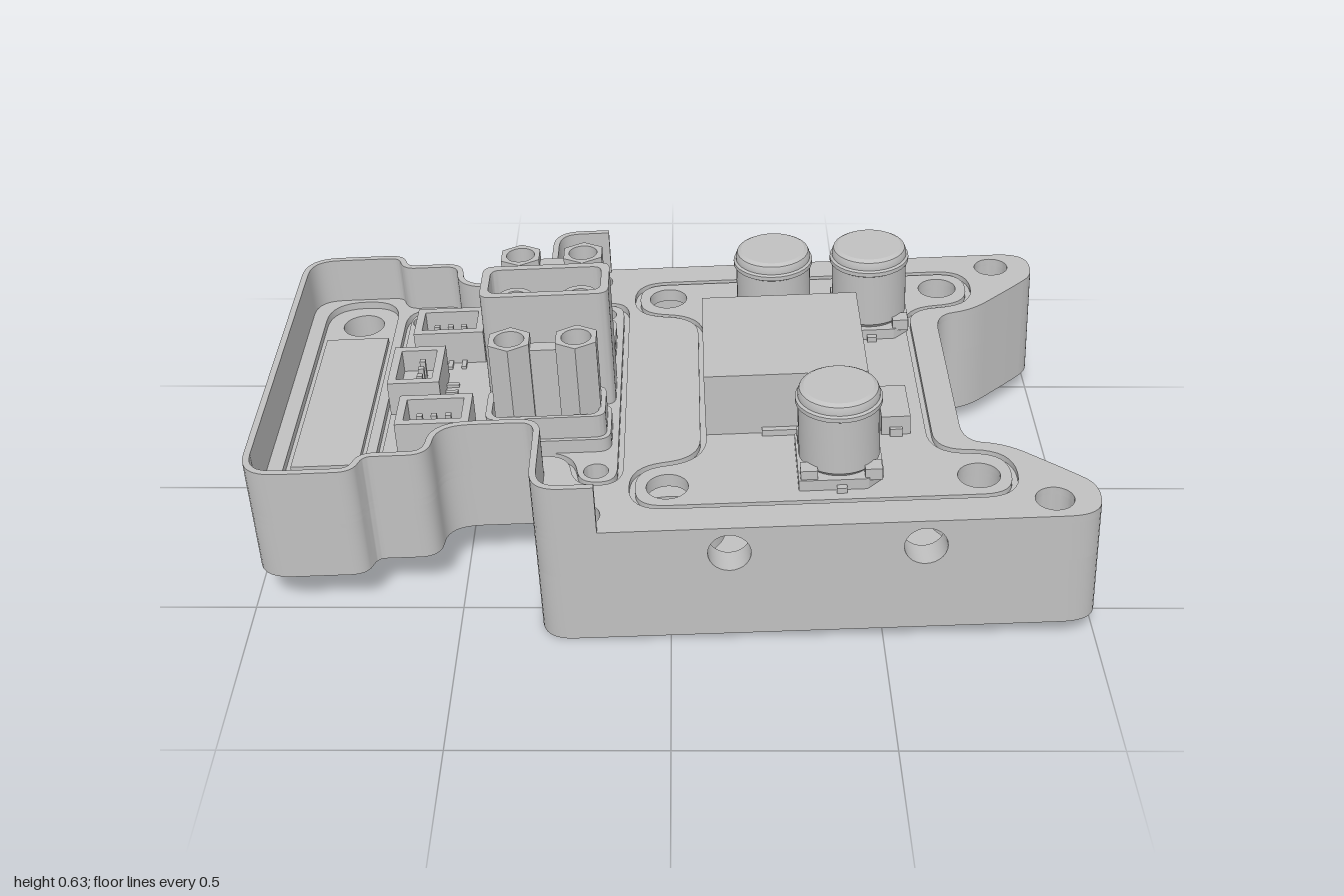
import * as THREE from 'three';
import { toCreasedNormals } from 'three/addons/utils/BufferGeometryUtils.js';

const grey = new THREE.MeshStandardMaterial({ color: 0xc0c0c0 });
grey.name = 'machined grey';

// Polyline through [x, z, cornerCut] points with softened corners
function rounded(points, closed = true) {
  const path = new THREE.Path(), n = points.length;
  const v = points.map(p => new THREE.Vector2(p[0], p[1]));
  const toward = (a, b, d) => a.clone().lerp(b, Math.min(0.49, d / a.distanceTo(b)));
  for (let i = 0; i < n; i++) {
    const end = !closed && (i === 0 || i === n - 1), r = points[i][2] || 0;
    const from = end || !r ? v[i] : toward(v[i], v[(i + n - 1) % n], r);
    if (i === 0) path.moveTo(from.x, from.y); else path.lineTo(from.x, from.y);
    if (end || !r) continue;
    const to = toward(v[i], v[(i + 1) % n], r);
    path.quadraticCurveTo(v[i].x, v[i].y, to.x, to.y);
  }
  const out = path.getPoints(8).filter((p, i, a) => i === 0 || p.distanceTo(a[i - 1]) > 1e-4);
  if (closed && out[0].distanceTo(out[out.length - 1]) < 1e-4) out.pop();
  return out;
}
const mirrored = half => [...half, ...half.slice().reverse().map(([x, z, r]) => [x, -z, r])];
const rect = (x0, x1, z0, z1, r = 0) => rounded([[x0, z0, r], [x1, z0, r], [x1, z1, r], [x0, z1, r]]);
const circle = (x, z, r, n = 28, turn = 0) => Array.from({ length: n }, (_, i) => {
  const a = (i / n) * Math.PI * 2 + turn;
  return new THREE.Vector2(x + r * Math.cos(a), z + r * Math.sin(a));
});
const pair = (x, z, r) => [circle(x, z, r), circle(x, -z, r)];

// Shift a polyline to its left by d
function offset(pts, d, closed) {
  const n = pts.length;
  return pts.map((p, i) => {
    const a = closed ? pts[(i + n - 1) % n] : pts[Math.max(0, i - 1)];
    const b = closed ? pts[(i + 1) % n] : pts[Math.min(n - 1, i + 1)];
    const t = b.clone().sub(a).normalize();
    return new THREE.Vector2(p.x - t.y * d, p.y + t.x * d);
  });
}
const inset = (pts, d) => offset(pts, THREE.ShapeUtils.isClockWise(pts) ? -d : d, true);

export function createModel() {
  const model = new THREE.Group();
  const add = (name, geometry, x = 0, y = 0, z = 0) => {
    const mesh = new THREE.Mesh(geometry, grey);
    mesh.name = name;
    mesh.position.set(x, y, z);
    model.add(mesh);
  };
  // Upright slab from a plan outline with holes; outer and holes wind opposite ways
  const slab = (name, outline, y0, y1, holes = []) => {
    const wind = (pts, clockwise) => {
      const f = pts.map(p => new THREE.Vector2(p.x, -p.y));
      return THREE.ShapeUtils.isClockWise(f) === clockwise ? f : f.reverse();
    };
    const shape = new THREE.Shape(wind(outline, false));
    shape.holes = holes.map(h => new THREE.Path(wind(h, true)));
    const g = new THREE.ExtrudeGeometry(shape, { depth: y1 - y0, bevelEnabled: false });
    g.rotateX(-Math.PI / 2);
    add(name, toCreasedNormals(g, 0.6), 0, y0, 0);
  };
  const box = (name, x0, x1, y0, y1, z0, z1) =>
    add(name, new THREE.BoxGeometry(x1 - x0, y1 - y0, z1 - z0), (x0 + x1) / 2, (y0 + y1) / 2, (z0 + z1) / 2);

  // Plan outlines, half of each, mirrored in z
  const lug = [[.70, .30, .07], [.80, .32, .06], [.93, .44, .04], [.99, .50, .05], [.98, .62, .08]];
  const corner = [-.32, .62, .08], waist = [-.32, .34, .04];
  const trayEnd = [[-.55, .34, .08], [-.56, .46, .05], [-.71, .46, .02], [-.73, .52, .04], [-.995, .52, .09]];
  const deckOutline = rounded(mirrored([...lug, corner, waist, ...trayEnd]));
  const powerOutline = rounded(mirrored([[.63, .33, .07], [.81, .35, .1], [.81, .535, .09],
    [-.1, .535, .09], [-.1, .36, .08], [.07, .33, .08]]));
  const plugOutline = rounded(mirrored([[-.115, .43, .07], [-.23, .43, .06], [-.25, .30, .06],
    [-.55, .30, .06], [-.6, .43, .06], [-.72, .43, .07]]));
  const raceOutline = rect(-.94, -.745, -.49, .49, .095);
  const cornerHoles = [...pair(-.21, .55, .045), ...pair(.88, .55, .045)];
  const powerHoles = [...pair(-.01, .445, .05), ...pair(.72, .445, .05)];
  const plugHole = pair(-.18, .37, .03);

  // Deep base with round pockets and a window underneath
  slab('base', rounded(mirrored([...lug, corner])), 0, .18,
    [...cornerHoles, ...plugHole, ...pair(-.01, .445, .135), ...pair(.72, .43, .12), rect(.17, .62, -.1, .36, .01)]);
  slab('baseLeftWall', rounded(mirrored([[-.062, .62, 0], corner])), .18, .285,
    [...pair(-.21, .55, .045), ...plugHole]);
  slab('baseRightWall', rounded(mirrored([...lug, [.66, .62, 0]])), .18, .285,
    [...pair(.88, .55, .045), ...pair(.72, .445, .05)]);
  for (const s of [1, -1]) {
    const shape = new THREE.Shape([[-.062, .18], [.66, .18], [.66, .285], [-.062, .285]].map(p => new THREE.Vector2(...p)));
    shape.holes = [.13, .58].map(x => new THREE.Path(circle(x, .235, .05).reverse()));
    const g = new THREE.ExtrudeGeometry(shape, { depth: .07, bevelEnabled: false });
    add('sideWall', toCreasedNormals(g, .6), 0, 0, s > 0 ? .55 : -.62);
  }

  // Shallow tray body and the shared deck
  slab('trayBody', rounded(mirrored([[-.3, .34, 0], ...trayEnd])), .135, .285,
    [...pair(-.84, .395, .055), ...pair(-.67, .37, .03)]);
  slab('deck', deckOutline, .285, .305, [...cornerHoles, raceOutline, powerOutline, plugOutline]);
  slab('powerBoardSeat', powerOutline, .27, .29, powerHoles);
  slab('powerBoard', inset(powerOutline, .014), .288, .304, powerHoles);
  slab('plugBoard', inset(plugOutline, .014), .275, .304, [...pair(-.67, .37, .03), ...plugHole]);
  box('trayBar', -.925, -.76, .28, .3, -.3, .3);
  for (const s of [1, -1]) {
    slab('trayFootRing', circle(-.84, s * .395, .1), .131, .137, [circle(-.84, s * .395, .055)]);
    slab('trayFootRing', circle(-.67, s * .37, .065), .131, .137, [circle(-.67, s * .37, .03)]);
  }

  // Thin rim wall round the tray, ending on the base corners
  const rimLine = rounded(mirrored([[-.17, .62], corner, waist, ...trayEnd]), false);
  slab('trayRim', [...rimLine, ...offset(rimLine, .016, false).reverse()], .305, .43);

  // Can capacitors on chamfered feet
  const canProfile = [[0, .33], [.082, .33], [.096, .345], [.096, .486], [.102, .49], [.102, .501],
    [.096, .505], [.096, .515], [.092, .525], [.082, .531], [0, .531]].map(p => new THREE.Vector2(...p));
  for (const [x, z] of [[.272, -.29], [.522, -.29], [.397, .383]]) {
    add('capacitorCan', toCreasedNormals(new THREE.LatheGeometry(canProfile, 36), .5), x, 0, z);
    slab('capacitorFoot', rounded([[x - .1, z - .1, .005], [x + .06, z - .1, .005], [x + .1, z - .06, .005],
      [x + .1, z + .06, .005], [x + .06, z + .1, .005], [x - .1, z + .1, .005]]), .303, .332);
    for (const a of [-.075, .075]) for (const b of [-.075, .075])
      box('capacitorFootPost', x + a - .02, x + a + .02, .325, .355, z + b - .02, z + b + .02);
    box('capacitorLead', x - .012, x + .012, .303, .318, z - .115, z + .115);
  }

  // Inductor, small chip and parts under the board
  box('inductor', .084, .478, .303, .47, -.15, .232);
  box('inductorTab', .22, .34, .303, .32, -.165, .247);
  box('chip', .508, .578, .303, .355, .12, .26);
  box('chipLead', .528, .558, .303, .325, .11, .27);
  for (const x of [.075, .53]) box('undersidePart', x, x + .105, .248, .272, -.4, .4);
  for (const z of [0, .14, .26]) box('undersidePart', .25, .5, .24, .272, z - .03, z + .03);

  // Main plug: tall open shroud with two split pins
  slab('mainPlugShroud', rect(-.455, -.14, -.078, .078, .03), .3, .624, [rect(-.435, -.16, -.058, .058, .025)]);
  slab('mainPlugFloor', rect(-.445, -.15, -.07, .07, .02), .3, .45);
  for (const x of [-.375, -.215]) {
    slab('mainPlugPin', circle(x, 0, .044), .44, .58, [circle(x, 0, .028)]);
    box('mainPlugPinBlade', x - .038, x + .038, .44, .575, -.007, .007);
  }
  box('mainPlugBridge', -.34, -.25, .44, .56, -.015, .015);

  // Side plugs: oval base with two hexagonal sockets joined by a web
  for (const z of [.21, -.21]) {
    slab('sidePlugBase', rect(-.455, -.145, z - .078, z + .078, .035), .3, .34);
    slab('sidePlugCollar', rect(-.445, -.155, z - .068, z + .068, .03), .34, .4, [rect(-.43, -.17, z - .058, z + .058, .03)]);
    box('sidePlugWeb', -.34, -.25, .33, .56, z - .018, z + .018);
    for (const x of [-.375, -.215]) {
      slab('sidePlugSocket', circle(x, z, .056, 6, Math.PI / 6), .33, .583, [circle(x, z, .036)]);
      slab('sidePlugContact', circle(x, z, .038), .33, .5);
    }
  }

  // Small signal headers with an open shroud and pins
  for (const [x, z, w, d] of [[-.575, -.215, .18, .13], [-.64, 0, .13, .175], [-.575, .21, .18, .13]]) {
    const r = k => rect(x - w / 2 + k, x + w / 2 - k, z - d / 2 + k, z + d / 2 - k);
    slab('headerShroud', r(0), .3, .395, [r(.02)]);
    slab('headerFloor', r(.01), .3, .335);
    const alongX = w > d;
    for (const k of [-.035, 0, .035]) {
      const px = x + (alongX ? k : .01), pz = z + (alongX ? .01 : k);
      box('headerPin', px - .007, px + .007, .33, .385, pz - .007, pz + .007);
      box('headerLead', px - .006 + (alongX ? 0 : .05), px + .006 + (alongX ? 0 : .08), .303, .312,
        pz - .006 - (alongX ? .1 : 0), pz + .006 + (alongX ? .08 : 0));
    }
  }

  // The whole assembly leans slightly along its length
  model.rotation.z = .046;
  model.position.set(.014, .0143, 0);
  const root = new THREE.Group();
  root.name = 'circuitHousing';
  root.add(model);
  return root;
}
